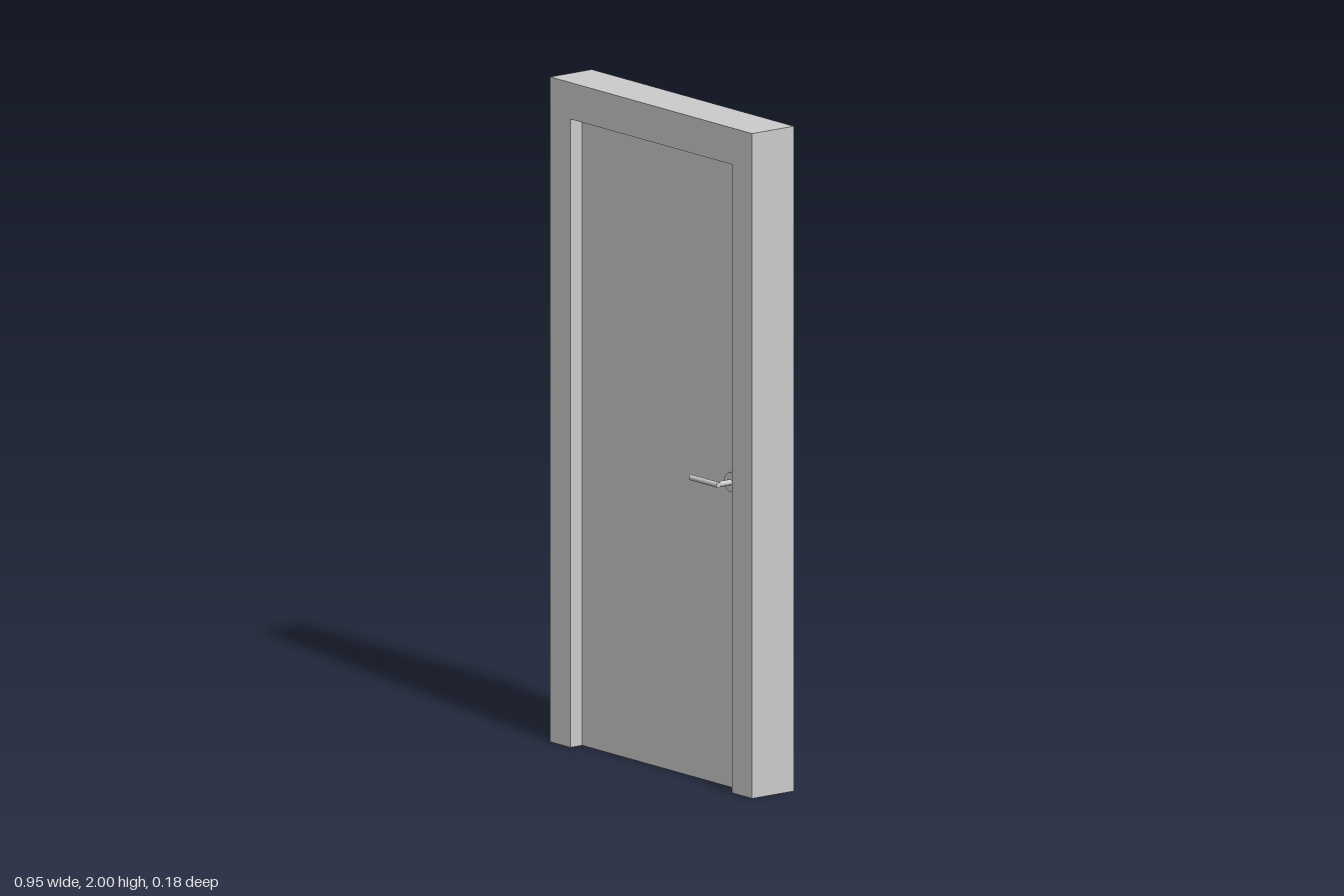
import * as THREE from 'three';

const material = new THREE.MeshStandardMaterial({ color: 0xcccccc });

function part(name, geometry, parent) {
  const mesh = new THREE.Mesh(geometry, material);
  mesh.name = name;
  parent.add(mesh);
  return mesh;
}

// Lever handle, built for the front face of the leaf
function createHandle(name, leafFace) {
  const handle = new THREE.Group();
  handle.name = name;
  const radius = 0.0085, leverZ = 0.0785;

  const rosette = part('rosette', new THREE.CylinderGeometry(0.029, 0.029, 0.006, 32), handle);
  rosette.rotation.x = Math.PI / 2;
  rosette.position.z = leafFace + 0.003;

  const stemLength = leverZ - leafFace;
  const stem = part('stem', new THREE.CylinderGeometry(radius, radius, stemLength, 24), handle);
  stem.rotation.x = Math.PI / 2;
  stem.position.z = leafFace + stemLength / 2;

  const lever = part('lever', new THREE.CylinderGeometry(radius, radius, 0.13, 24), handle);
  lever.rotation.z = Math.PI / 2;
  lever.position.set(radius - 0.065, 0, leverZ);

  handle.position.set(0.3245, 0.919, 0);
  return handle;
}

export function createModel() {
  const door = new THREE.Group();
  door.name = 'door';
  const outer = 0.475, inner = 0.38, top = 2, innerTop = 1.89;
  const back = -0.09, front = 0.066, leafThickness = 0.044;

  // Frame: two jambs and a head, open at the floor
  const outline = new THREE.Shape([
    [-outer, 0], [-inner, 0], [-inner, innerTop], [inner, innerTop],
    [inner, 0], [outer, 0], [outer, top], [-outer, top],
  ].map(([x, y]) => new THREE.Vector2(x, y)));
  const frame = new THREE.ExtrudeGeometry(outline, { depth: front - back, bevelEnabled: false });
  part('frame', frame.translate(0, 0, back), door);

  // Leaf set back inside the frame
  const leaf = part('leaf', new THREE.BoxGeometry(inner * 2, innerTop, leafThickness), door);
  leaf.position.y = innerTop / 2;

  // One handle on each face, the back one turned over about the lever's axis
  const frontHandle = createHandle('frontHandle', leafThickness / 2);
  const backHandle = createHandle('backHandle', leafThickness / 2);
  backHandle.rotation.x = Math.PI;
  door.add(frontHandle, backHandle);

  return door;
}
